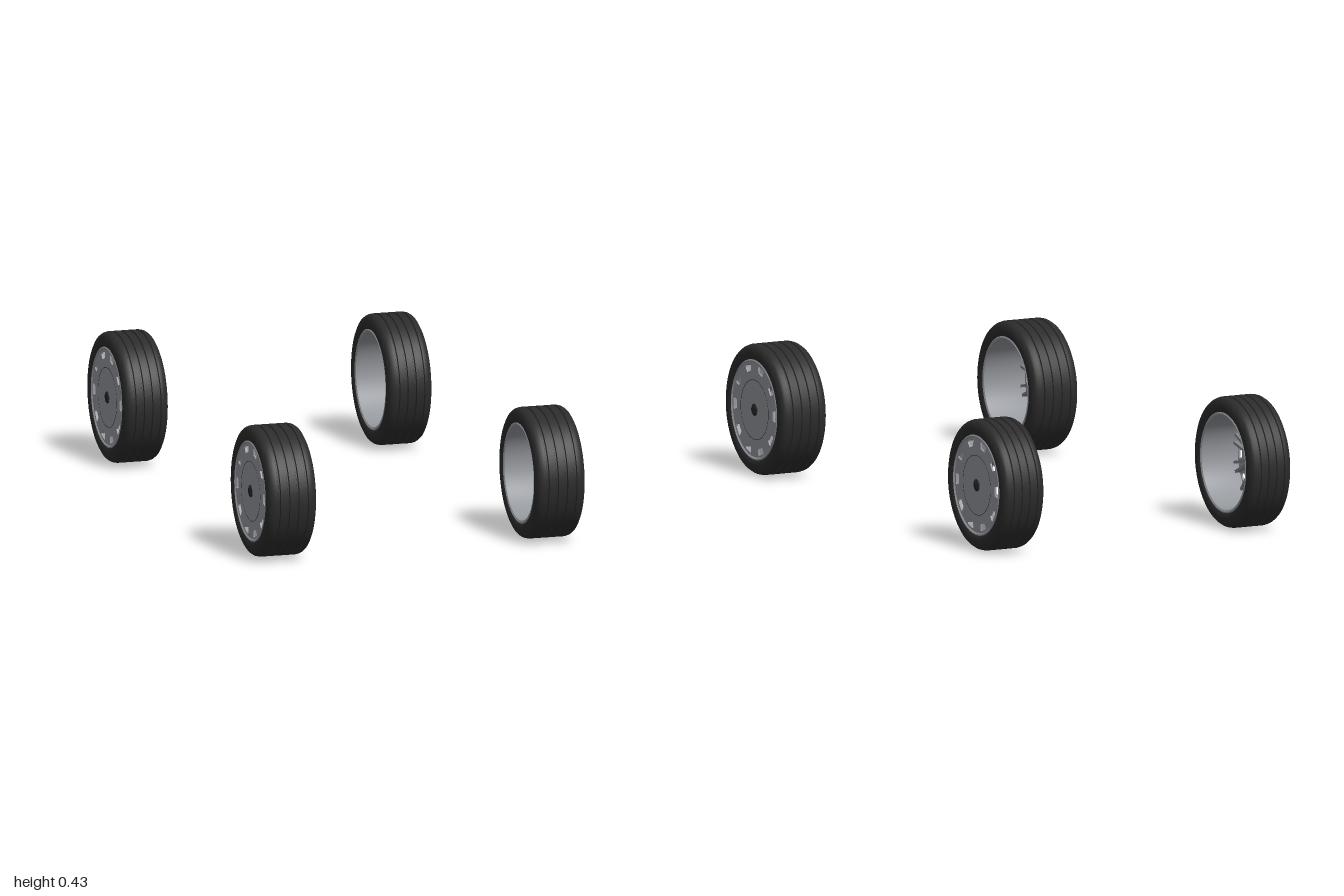
import * as THREE from 'three';
import { toCreasedNormals } from 'three/addons/utils/BufferGeometryUtils.js';

const R = 0.217;
const INNER_X = 0.38;
const WINDOWS = 10;

const paint = (name, color) => {
  const m = new THREE.MeshStandardMaterial({ color });
  m.name = name;
  return m;
};

// Revolve a (radius, x) profile around the axle
function revolve(profile, segments = 72) {
  const g = new THREE.LatheGeometry(profile.map(([r, x]) => new THREE.Vector2(r, x)), segments);
  return toCreasedNormals(g.rotateZ(-Math.PI / 2), 0.6);
}

// Extrude a flat shape along the axle, with its outer face at the given x
function plate(shape, depth, outerX) {
  const g = new THREE.ExtrudeGeometry(shape, { depth, bevelEnabled: false, curveSegments: 72 });
  return toCreasedNormals(g.rotateY(Math.PI / 2).translate(outerX - depth, 0, 0), 0.6);
}

function tyreProfile(w) {
  const p = [[0.165, -w + 0.006], [0.172, -w + 0.001], [0.185, -w], [0.2, -w + 0.002],
    [0.209, -w + 0.007], [0.2145, -w + 0.015], [R, -w + 0.026]];
  // four grooves round the tread
  for (const k of [-1.5, -0.5, 0.5, 1.5]) {
    const x = -w / 2 + k * w * 0.19;
    p.push([R, x - 0.004], [R - 0.005, x - 0.002], [R - 0.005, x + 0.002], [R, x + 0.004]);
  }
  p.push([R, -0.026], [0.2145, -0.015], [0.209, -0.007], [0.2, -0.002], [0.185, 0],
    [0.172, -0.001], [0.165, -0.006]);
  return p;
}

// Disc with a ring of windows near its edge
function coverShape() {
  const s = new THREE.Shape().absarc(0, 0, 0.159, 0, Math.PI * 2, false);
  for (let i = 0; i < WINDOWS; i++) {
    const a = (i / WINDOWS) * Math.PI * 2;
    const hole = new THREE.Path();
    const corners = [[0.129, -0.11], [0.148, -0.14], [0.152, -0.11], [0.152, 0.11],
      [0.148, 0.14], [0.129, 0.11]];
    hole.setFromPoints(corners.map(([r, d]) =>
      new THREE.Vector2(r * Math.cos(a + d), r * Math.sin(a + d))));
    hole.closePath();
    s.holes.push(hole);
  }
  return s;
}

function createWheel(w, mats) {
  const wheel = new THREE.Group();
  const add = (name, geometry, material) => {
    const m = new THREE.Mesh(geometry, material);
    m.name = name;
    wheel.add(m);
    return m;
  };

  add('tyre', revolve(tyreProfile(w)), mats.rubber);

  // open barrel with a rolled lip at each end
  add('rimBarrel', revolve([
    [0.157, -w + 0.005], [0.163, -w + 0.002], [0.168, -w + 0.005], [0.166, -w + 0.012],
    [0.166, -0.012], [0.168, -0.005], [0.163, -0.002], [0.158, -0.006],
    [0.155, -0.02], [0.155, -w + 0.015], [0.157, -w + 0.005],
  ]), mats.silver);

  // flat cover with its seam and centre cap
  add('wheelCover', plate(coverShape(), 0.006, -0.006), mats.silver);
  const seam = new THREE.Shape().absarc(0, 0, 0.1, 0, Math.PI * 2, false);
  seam.holes.push(new THREE.Path().absarc(0, 0, 0.0985, 0, Math.PI * 2, true));
  add('coverSeam', plate(seam, 0.001, -0.0055), mats.dark);
  add('centreCap', revolve([[0, -0.012], [0.02, -0.012], [0.02, -0.004], [0.017, -0.002], [0, -0.002]], 32), mats.dark);

  // paired spokes and hub behind the cover
  add('hub', revolve([[0, -0.05], [0.035, -0.05], [0.04, -0.044], [0.04, -0.012], [0, -0.012]], 32), mats.spoke);
  for (let i = 0; i < WINDOWS; i++) {
    for (const side of [-1, 1]) {
      const bar = new THREE.BoxGeometry(0.018, 0.126, 0.009);
      bar.translate(-0.022, 0.094, 0).rotateX(side * 0.1);
      bar.rotateX(((i + 0.5) / WINDOWS) * Math.PI * 2 + Math.PI / 2);
      add('spoke', bar, mats.spoke);
    }
  }
  return wheel;
}

export function createModel() {
  const model = new THREE.Group();
  model.name = 'wheelSet';
  const mats = {
    rubber: paint('black rubber', 0x2b2b2b),
    silver: paint('silver grey', 0x94979c),
    spoke: paint('spoke grey', 0x808388),
    dark: paint('dark trim', 0x252628),
  };
  // front tyres are wider than the rear ones
  for (const [axle, z, w] of [['front', 0.783, 0.168], ['rear', -0.783, 0.151]]) {
    for (const side of [1, -1]) {
      const wheel = createWheel(w, mats);
      wheel.name = axle + (side > 0 ? 'Left' : 'Right') + 'Wheel';
      wheel.position.set(side * (INNER_X + w), R, z);
      if (side < 0) wheel.rotation.y = Math.PI;
      model.add(wheel);
    }
  }
  return model;
}
